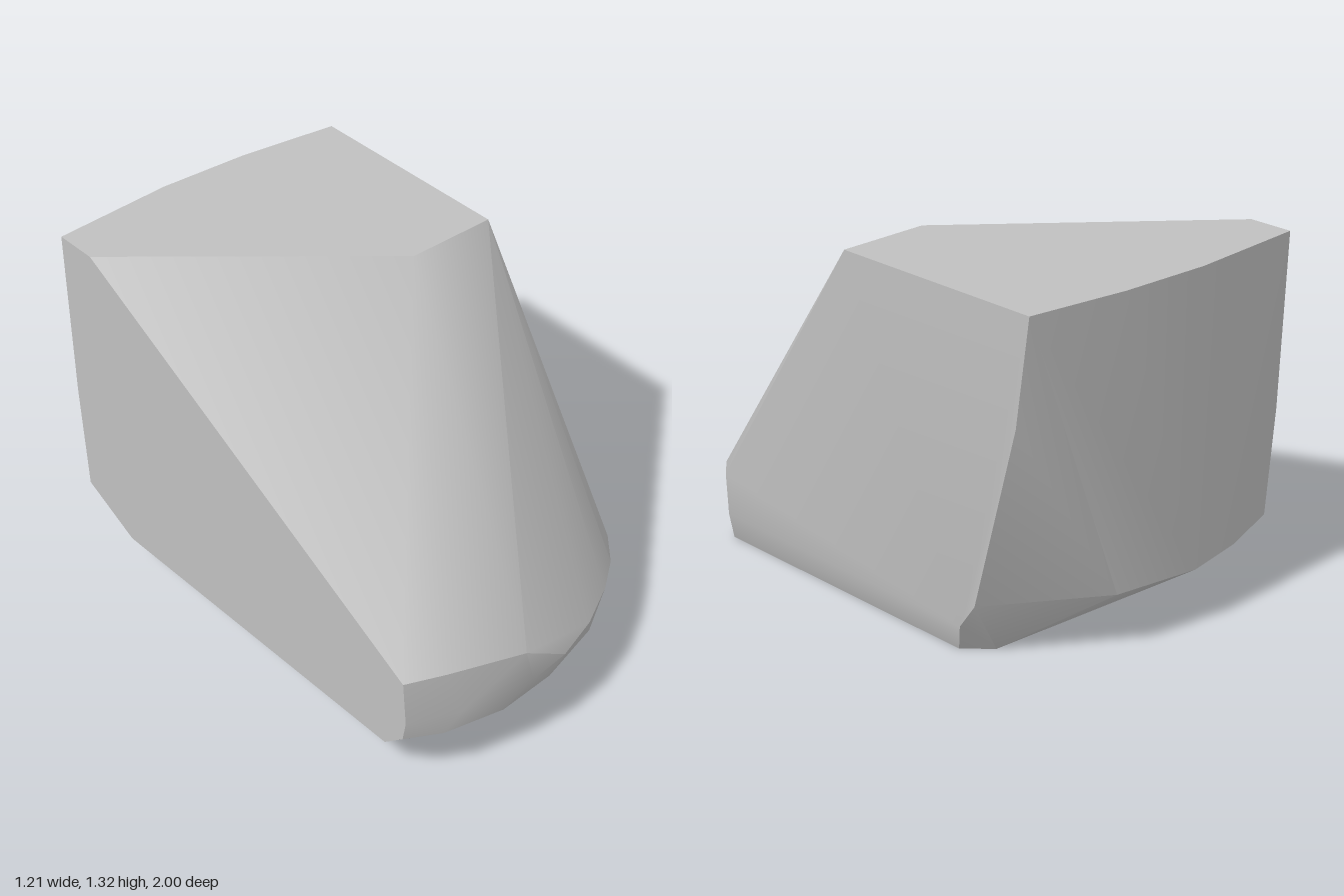
import * as THREE from 'three';
import { ConvexGeometry } from 'three/addons/geometries/ConvexGeometry.js';
import { toCreasedNormals } from 'three/addons/utils/BufferGeometryUtils.js';

const W = 0.605; // half width between the two flat sides
const H = 1.32;  // height of the flat top

// Each ring lists corners as [x, y, z]
const topRim = [
  [-W, H, -0.96], [-0.13, H, -0.985], [0.22, H, -0.965], [W, H, -0.91],
  [W, H, -0.05], [0.25, H, -0.05], [-W, H, -0.79],
];
const backWall = [
  [-W, 0.66, -0.94], [W, 0.92, -0.855],
  [-W, 0.24, -0.91], [-0.37, 0.22, -0.965], [-0.13, 0.22, -1], [0.2, 0.22, -0.94], [W, 0.22, -0.67],
];
const frontLip = [
  [-W, 0.45, 0.86], [-0.46, 0.45, 0.92], [-0.15, 0.4, 0.98],
  [-W, 0.28, 0.875], [-0.42, 0.28, 0.955], [-0.13, 0.28, 1], [0.04, 0.28, 0.98],
  [0.22, 0.28, 0.92], [0.4, 0.27, 0.82], [0.52, 0.27, 0.73], [W, 0.28, 0.63],
  [-W, 0.2, 0.86], [-0.48, 0.2, 0.93], [-0.25, 0.2, 0.98], [-0.02, 0.21, 0.97],
];
const base = [
  [-W, 0.12, 0.77], [-0.1, 0.06, 0.77], [0.35, 0.003, 0.76], [0.42, 0, 0.74], [0.56, 0, 0.65],
  [W, 0.12, 0.62], [W, 0.12, -0.6],
  [0.56, 0, -0.55], [0.47, 0, -0.64], [0.35, 0.003, -0.645], [-W, 0.12, -0.66],
];

export function createModel() {
  const group = new THREE.Group();
  group.name = 'wedgeBlock';
  const grey = new THREE.MeshStandardMaterial({ color: 0xc0c0c0 });
  grey.name = 'stone grey';

  // Solid sloped block: tight skin around the rings, soft on the curved walls
  const points = [...topRim, ...backWall, ...frontLip, ...base].map((p) => new THREE.Vector3(...p));
  const geometry = toCreasedNormals(new ConvexGeometry(points), 0.55);
  const body = new THREE.Mesh(geometry, grey);
  body.name = 'body';
  group.add(body);
  return group;
}
